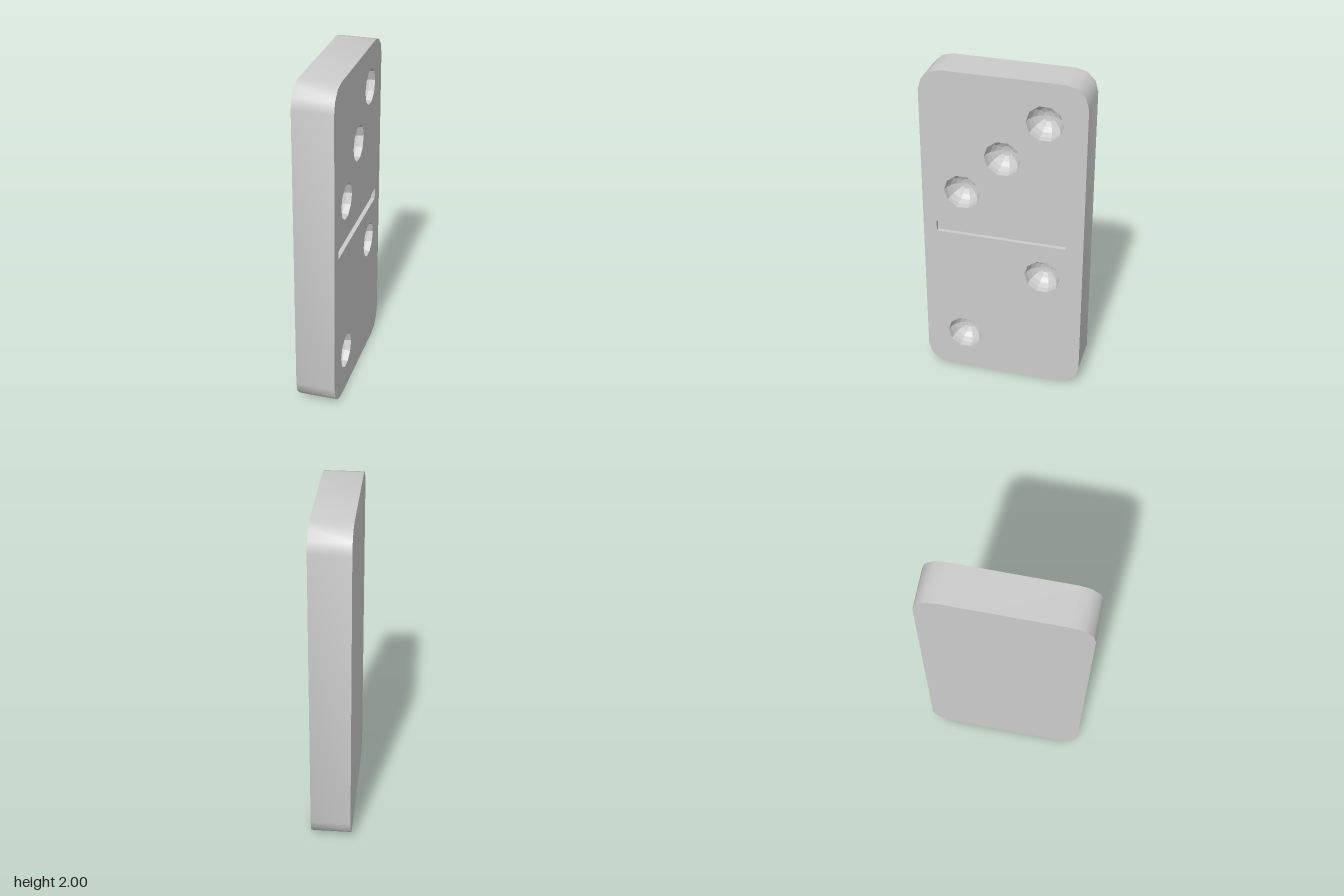
import * as THREE from 'three';
import { toCreasedNormals } from 'three/addons/utils/BufferGeometryUtils.js';

const HALF_T = 0.118, HALF_W = 0.48, HEIGHT = 2, CORNER = 0.13, CORNER_STEPS = 3;
const PIP_R = 0.107, PIP_SIDES = 10, GROOVE_DEPTH = 0.025;
// pip centres as [z, y] on the +x face
const PIPS = [[-0.24, 1.755], [0, 1.505], [0.24, 1.255], [-0.24, 0.755], [0.24, 0.255]];

// Outlines are drawn in (-z, y) and turned so their depth runs along +x.
const turn = (geo) => geo.rotateY(Math.PI / 2);

// counter-clockwise outline with coarse rounded corners
function tileOutline() {
  const pts = [];
  const u = HALF_W - CORNER, lo = CORNER, hi = HEIGHT - CORNER;
  [[u, lo], [u, hi], [-u, hi], [-u, lo]].forEach(([cx, cy], k) => {
    for (let i = 0; i <= CORNER_STEPS; i++) {
      const a = (k - 1 + i / CORNER_STEPS) * Math.PI / 2;
      pts.push(new THREE.Vector2(cx + CORNER * Math.cos(a), cy + CORNER * Math.sin(a)));
    }
  });
  return pts;
}

// band of quads along a closed loop; a clockwise loop faces inwards
function walls(loop, d0, d1) {
  const pos = [];
  loop.forEach((p, i) => {
    const q = loop[(i + 1) % loop.length];
    pos.push(p.x, p.y, d0, q.x, q.y, d0, q.x, q.y, d1);
    pos.push(p.x, p.y, d0, q.x, q.y, d1, p.x, p.y, d1);
  });
  const geo = new THREE.BufferGeometry();
  geo.setAttribute('position', new THREE.Float32BufferAttribute(pos, 3));
  geo.computeVertexNormals();
  return turn(geo);
}

export function createModel() {
  const group = new THREE.Group();
  const smooth = new THREE.MeshStandardMaterial({ color: 0xcccccc });
  const flat = new THREE.MeshStandardMaterial({ color: 0xcccccc, flatShading: true });
  const add = (name, geo, mat = flat) => {
    const mesh = new THREE.Mesh(geo, mat);
    mesh.name = name;
    group.add(mesh);
    return mesh;
  };

  const outline = tileOutline();
  // clockwise groove rectangle
  const groove = [[-0.4, 0.97], [-0.4, 1.037], [0.38, 1.037], [0.38, 0.97]]
    .map(([x, y]) => new THREE.Vector2(x, y));

  // rounded edge band
  add('edge', toCreasedNormals(walls(outline, -HALF_T, HALF_T), 0.7), smooth);

  // plain back face
  add('backFace', new THREE.ShapeGeometry(new THREE.Shape(outline))
    .rotateY(-Math.PI / 2).translate(-HALF_T, 0, 0));

  // marked face with openings for the pips and groove
  const face = new THREE.Shape(outline);
  face.holes.push(new THREE.Path(groove));
  for (const [z, y] of PIPS) {
    const ring = [];
    for (let i = 0; i < PIP_SIDES; i++) {
      const a = -i / PIP_SIDES * Math.PI * 2;
      ring.push(new THREE.Vector2(-z - PIP_R * Math.cos(a), y + PIP_R * Math.sin(a)));
    }
    face.holes.push(new THREE.Path(ring));
  }
  add('markedFace', turn(new THREE.ShapeGeometry(face)).translate(HALF_T, 0, 0));

  // hemispherical pips, profile from rim down to the bottom
  const profile = [];
  for (let i = 0; i <= 5; i++) {
    const a = i / 5 * Math.PI / 2;
    profile.push(new THREE.Vector2(i === 5 ? 0 : PIP_R * Math.cos(a), -PIP_R * Math.sin(a)));
  }
  const bowl = new THREE.LatheGeometry(profile, PIP_SIDES).rotateZ(-Math.PI / 2);
  for (const [z, y] of PIPS) add('pip', bowl).position.set(HALF_T, y, z);

  // shallow dividing groove
  add('grooveWalls', walls(groove, HALF_T - GROOVE_DEPTH, HALF_T));
  add('grooveFloor', turn(new THREE.ShapeGeometry(new THREE.Shape(groove)))
    .translate(HALF_T - GROOVE_DEPTH, 0, 0));

  return group;
}
